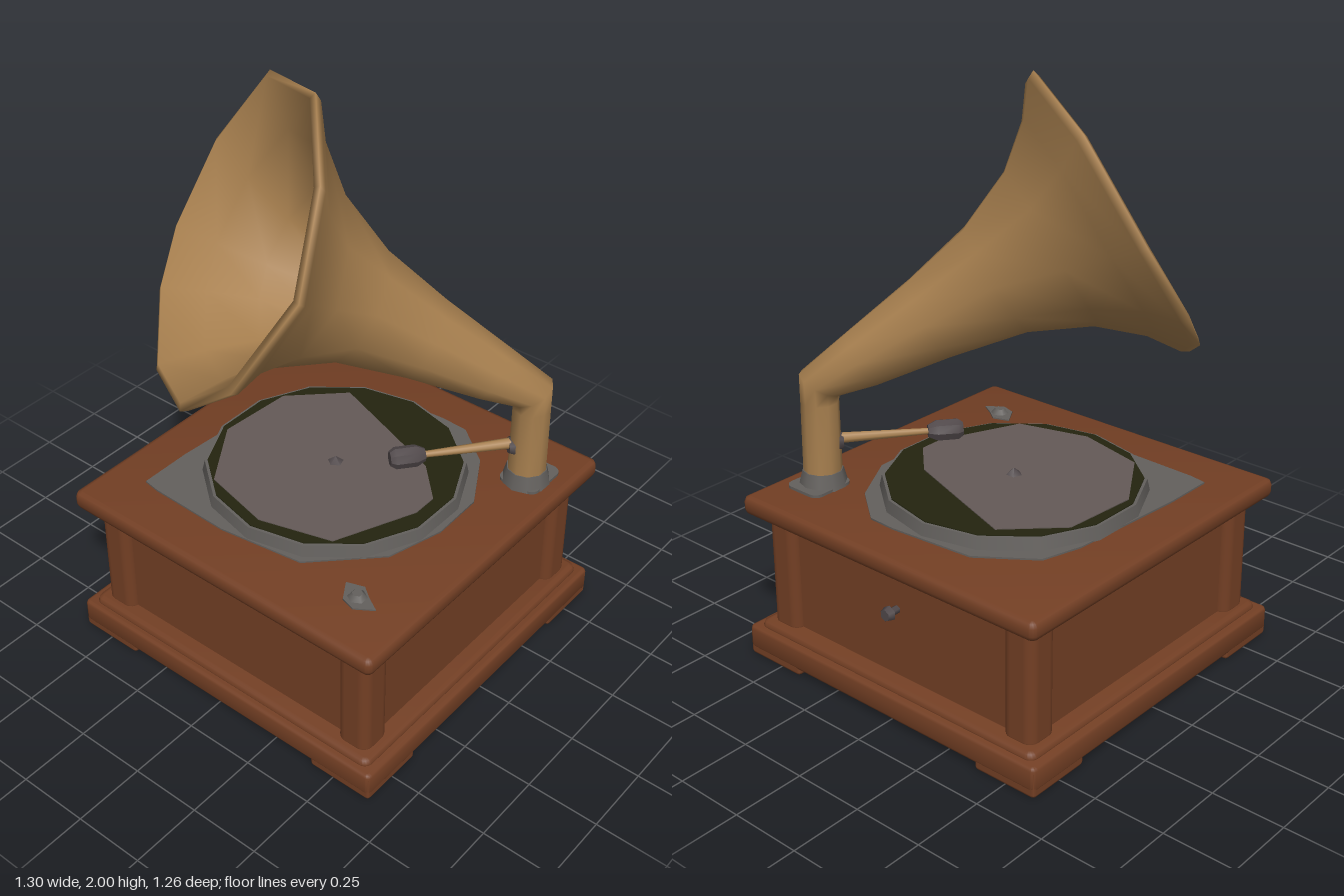
import * as THREE from 'three';
import { toCreasedNormals } from 'three/addons/utils/BufferGeometryUtils.js';
import { RoundedBoxGeometry } from 'three/addons/geometries/RoundedBoxGeometry.js';

const V = (x, y, z) => new THREE.Vector3(x, y, z);
const material = (name, color) => Object.assign(new THREE.MeshStandardMaterial({ color }), { name });

// Outline of a rectangle with rounded corners
function roundedRect(w, d, r) {
  const s = new THREE.Shape();
  const x = w / 2 - r, y = d / 2 - r;
  s.absarc(x, y, r, 0, Math.PI / 2);
  s.absarc(-x, y, r, Math.PI / 2, Math.PI);
  s.absarc(-x, -y, r, Math.PI, Math.PI * 1.5);
  s.absarc(x, -y, r, Math.PI * 1.5, Math.PI * 2);
  return s;
}

// Horizontal slab from y0 to y1 with bevelled edges
function slab(shape, y0, y1, bevel = 0) {
  const g = new THREE.ExtrudeGeometry(shape, {
    depth: y1 - y0 - 2 * bevel, bevelEnabled: bevel > 0, bevelThickness: bevel,
    bevelSize: bevel, bevelOffset: -bevel, bevelSegments: 2, curveSegments: 4,
  });
  g.rotateX(-Math.PI / 2).translate(0, y0 + bevel, 0);
  return toCreasedNormals(g, 0.8);
}

// Outline from x, z pairs
const outline = (pts) => new THREE.Shape(pts.map(([x, z]) => new THREE.Vector2(x, -z)));

// Skin a series of rings that have the same number of points
function loft(rings) {
  const n = rings[0].length, index = [];
  for (let r = 0; r < rings.length - 1; r++) {
    for (let i = 0; i < n; i++) {
      const a = r * n + i, b = r * n + (i + 1) % n;
      index.push(a, a + n, b, b, a + n, b + n);
    }
  }
  const g = new THREE.BufferGeometry().setFromPoints(rings.flat());
  g.setIndex(index);
  g.computeVertexNormals();
  return g;
}

// Bent pipe that opens into a ten-sided bell with an inner wall
function hornGeometry() {
  const elbow = V(0.51, 0.96, -0.385), up = V(0, 1, 0);
  const mouth = V(-0.185, 1.535, 0.235), facing = V(-0.52, 0.52, 0.68).normalize();
  const axis = mouth.clone().sub(elbow), length = axis.length();
  axis.normalize();
  const rim = [
    [-0.05, 2, 0.03], [0.2, 1.9, 0.31], [0.28, 1.64, 0.5], [0.13, 1.34, 0.63], [-0.13, 1.13, 0.58],
    [-0.4, 1.07, 0.41], [-0.58, 1.2, 0.2], [-0.65, 1.34, 0.04], [-0.62, 1.6, -0.14], [-0.4, 1.9, -0.165],
  ].map((p) => V(...p));
  const u0 = rim[0].clone().sub(mouth).projectOnPlane(facing).normalize();
  const at = (t) => elbow.clone().addScaledVector(axis, t);
  const circle = (center, normal, r) => {
    const n = normal.clone().normalize();
    const u = u0.clone().applyQuaternion(new THREE.Quaternion().setFromUnitVectors(facing, n));
    const v = u.clone().cross(n);
    return rim.map((_, i) => {
      const a = i / rim.length * Math.PI * 2;
      return center.clone().addScaledVector(u, r * Math.cos(a)).addScaledVector(v, r * Math.sin(a));
    });
  };
  const flare = (t, s) => rim.map((p) => at(t).addScaledVector(p.clone().sub(mouth), s));
  return loft([
    circle(V(0.51, 0.61, -0.385), up, 0.066),
    circle(V(0.51, 0.9, -0.385), up, 0.064),
    circle(V(0.508, 0.962, -0.383), axis.clone().add(up), 0.076),
    circle(at(0.17), axis, 0.102),
    circle(at(0.43), axis, 0.145),
    circle(at(0.68), axis.clone().add(facing), 0.2),
    flare(0.87, 0.56),
    flare(1.0, 0.78),
    flare(length - 0.025, 0.975),
    flare(length, 1),
    flare(length + 0.008, 0.955),
    flare(1.0, 0.735),
    flare(0.87, 0.51),
    circle(at(0.68), axis.clone().add(facing), 0.18),
    circle(at(0.43), axis, 0.12),
    circle(at(0.25), axis, 0.005),
  ]);
}

export function createModel() {
  const model = new THREE.Group();
  model.name = 'gramophone';
  const wood = material('wood', 0x733f24);
  const brass = material('brass', 0xa8804f);
  const steel = material('steel', 0x63605d);
  const darkSteel = material('dark steel', 0x50484a);
  const felt = material('green felt', 0x23240f);
  const label = material('record grey', 0x645a57);

  function add(name, geometry, mat, x = 0, y = 0, z = 0, parent = model) {
    const mesh = new THREE.Mesh(geometry, mat);
    mesh.name = name;
    mesh.position.set(x, y, z);
    parent.add(mesh);
    return mesh;
  }

  // Wooden cabinet: plinth, recessed panels, corner posts and lid
  const cabinet = new THREE.Group();
  cabinet.name = 'cabinet';
  cabinet.position.x = 0.015;
  model.add(cabinet);
  const part = (name, g, x, y, z) => add(name, g, wood, x, y, z, cabinet);
  part('plinth', slab(roundedRect(1.27, 1.26, 0.02), 0.024, 0.108, 0.012));
  part('plinthMoulding', slab(roundedRect(1.21, 1.21, 0.03), 0.09, 0.13, 0.018));
  part('panels', new THREE.BoxGeometry(1.09, 0.44, 1.085), 0, 0.33, 0);
  part('topRail', slab(roundedRect(1.14, 1.135, 0.03), 0.495, 0.545, 0.012));
  part('lid', slab(roundedRect(1.26, 1.26, 0.025), 0.535, 0.6, 0.02));
  for (const sx of [-1, 1]) {
    for (const sz of [-1, 1]) {
      part('cornerPost', new RoundedBoxGeometry(0.12, 0.45, 0.12, 3, 0.035), sx * 0.515, 0.325, sz * 0.512);
      part('foot', new RoundedBoxGeometry(0.24, 0.1, 0.24, 1, 0.012), sx * 0.513, 0.05, sz * 0.508);
    }
  }

  // Winding knob on the back
  const winder = add('winderShaft', new THREE.CylinderGeometry(0.014, 0.014, 0.06, 6), darkSteel, 0.02, 0.372, -0.56);
  winder.rotation.x = Math.PI / 2;
  const knob = add('winderKnob', new THREE.CylinderGeometry(0.027, 0.02, 0.022, 6), darkSteel, 0.02, 0.372, -0.587);
  knob.rotation.x = Math.PI / 2;

  // Metal bed, turntable and record
  add('turntableBed', slab(outline([
    [-0.43, -0.18], [-0.39, -0.32], [-0.21, -0.45], [0.1, -0.475], [0.2, -0.47], [0.34, -0.36], [0.45, -0.17],
    [0.455, 0.02], [0.4, 0.22], [0.2, 0.42], [-0.1, 0.46], [-0.4, 0.45], [-0.46, 0.44], [-0.46, 0.25],
  ]), 0.595, 0.606), steel);
  add('platter', new THREE.CylinderGeometry(0.44, 0.45, 0.045, 14), steel, -0.005, 0.624, -0.005);
  add('platterFelt', new THREE.CylinderGeometry(0.43, 0.43, 0.006, 14), felt, -0.005, 0.647, -0.005);
  add('record', slab(outline([
    [-0.21, -0.335], [0, -0.26], [0.25, -0.17], [0.37, -0.05], [0.37, 0.04], [0.25, 0.32],
    [0, 0.39], [-0.25, 0.33], [-0.4, 0.1], [-0.38, -0.17],
  ]), 0.648, 0.653), label);
  add('spindle', new THREE.ConeGeometry(0.03, 0.024, 5), darkSteel, 0, 0.663, 0);

  // Speed control on the lid
  add('speedPlate', slab(outline([
    [0.37, 0.4], [0.43, 0.38], [0.47, 0.41], [0.52, 0.44], [0.46, 0.48], [0.41, 0.465],
  ]), 0.596, 0.605), steel);
  add('speedKnob', new THREE.CylinderGeometry(0.018, 0.035, 0.02, 6), steel, 0.44, 0.612, 0.43);

  // Horn with its metal collar
  add('horn', hornGeometry(), brass);
  add('hornFlange', slab(roundedRect(0.15, 0.17, 0.03), 0.596, 0.61), steel, 0.51, 0, -0.405);
  add('hornCollar', new THREE.CylinderGeometry(0.069, 0.083, 0.055, 10), steel, 0.51, 0.628, -0.385);

  // Tone arm and sound box
  const toneArm = new THREE.Group();
  toneArm.name = 'toneArm';
  toneArm.position.set(0.51, 0.76, -0.385);
  toneArm.rotation.y = Math.atan2(-0.26, 0.325);
  model.add(toneArm);
  const along = (g) => g.rotateX(Math.PI / 2);
  add('armTube', along(new THREE.CylinderGeometry(0.011, 0.02, 0.33, 8)), brass, 0, 0, 0.195, toneArm);
  add('armSocket', along(new THREE.CylinderGeometry(0.028, 0.036, 0.02, 6)), darkSteel, 0, -0.01, 0.062, toneArm);
  add('soundBox', toCreasedNormals(along(new THREE.LatheGeometry(
    [[0, -0.06], [0.022, -0.06], [0.037, -0.03], [0.037, 0.04], [0.025, 0.058], [0, 0.058]]
      .map(([r, y]) => new THREE.Vector2(r, y)), 8)), 0.6), darkSteel, 0, 0, 0.415, toneArm);

  return model;
}
